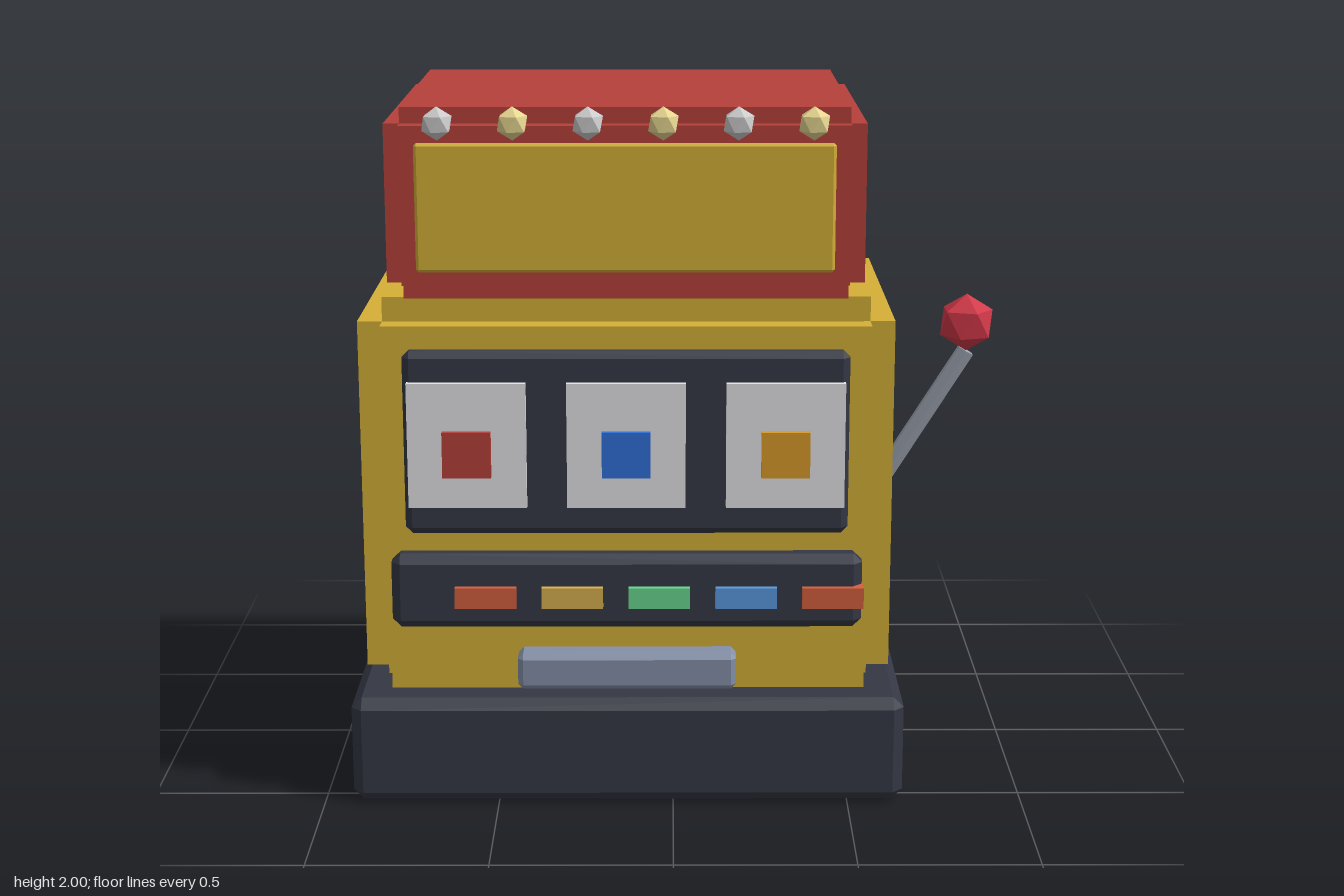
import * as THREE from 'three';
import { ConvexGeometry } from 'three/addons/geometries/ConvexGeometry.js';

const CX = -0.13; // cabinet centre line; the lever sticks out on the +x side
const TILT = -0.5536; // lever lean

const material = (color) => new THREE.MeshStandardMaterial({ color, flatShading: true });

function add(parent, name, geometry, color, x = 0, y = 0, z = 0) {
  const mesh = new THREE.Mesh(geometry, material(color));
  mesh.name = name;
  mesh.position.set(x, y, z);
  parent.add(mesh);
  return mesh;
}

// Box with every edge chamfered by c
function chamferBox(w, h, d, c) {
  const points = [];
  for (const sx of [-1, 1]) for (const sy of [-1, 1]) for (const sz of [-1, 1]) {
    for (let axis = 0; axis < 3; axis++) {
      const p = [w / 2 - c, h / 2 - c, d / 2 - c];
      p[axis] += c;
      points.push(new THREE.Vector3(sx * p[0], sy * p[1], sz * p[2]));
    }
  }
  return new ConvexGeometry(points);
}

// Three crossing boxes, each reaching full size along one axis: stepped edges
function steppedBox(parent, name, size, inset, color, x, y, z) {
  const group = new THREE.Group();
  group.name = name;
  group.position.set(x, y, z);
  for (let axis = 0; axis < 3; axis++) {
    const s = size.map((v, i) => (i === axis ? v : v - 2 * inset));
    add(group, name + 'Block', new THREE.BoxGeometry(...s), color);
  }
  parent.add(group);
}

export function createModel() {
  const model = new THREE.Group();
  model.name = 'slotMachine';
  const dark = 0x343844, gold = 0xd4af37, red = 0xb5403a, white = 0xe4e4e8;

  // Cabinet
  add(model, 'base', chamferBox(1.58, 0.31, 1.19, 0.03), dark, CX, 0.155, -0.025);
  steppedBox(model, 'body', [1.5, 1.15, 1.1], 0.07, gold, CX, 0.885, -0.022);
  steppedBox(model, 'topBox', [1.32, 0.53, 1.02], 0.045, red, CX, 1.725, 0.02);

  // Illuminated sign and bulbs
  add(model, 'sign', chamferBox(1.145, 0.355, 0.02, 0.008), gold, CX, 1.723, 0.545);
  for (let i = 0; i < 6; i++) {
    const bulb = add(model, 'bulb', new THREE.IcosahedronGeometry(0.046, 0),
      i % 2 ? 0xe6d690 : 0xe0e0e0, -0.635 + i * 0.203, 1.957, 0.575);
    bulb.rotation.z = TILT;
  }

  // Reel window with three reels and their symbols
  add(model, 'reelPanel', chamferBox(1.24, 0.525, 0.06, 0.02), dark, CX, 1.063, 0.53);
  [0xb5403a, 0x2f70d8, 0xd89a28].forEach((color, i) => {
    const x = CX + (i - 1) * 0.442;
    add(model, 'reel', new THREE.BoxGeometry(0.33, 0.355, 0.04), white, x, 1.062, 0.558);
    add(model, 'reelSymbol', new THREE.BoxGeometry(0.135, 0.13, 0.03), color, x, 1.04, 0.582);
  });

  // Button deck
  add(model, 'buttonPanel', chamferBox(1.32, 0.215, 0.08, 0.025), dark, CX, 0.643, 0.56);
  [0xd4603f, 0xd8b050, 0x68d890, 0x5a9ae0, 0xd4603f].forEach((color, i) => {
    add(model, 'button', new THREE.BoxGeometry(0.172, 0.06, 0.05), color, -0.525 + i * 0.243, 0.632, 0.595);
  });

  // Coin tray
  add(model, 'coinTray', chamferBox(0.615, 0.105, 0.09, 0.015), 0x8490a8, CX, 0.413, 0.575);

  // Lever, leaning outward
  const lever = new THREE.Group();
  lever.name = 'lever';
  lever.position.set(0.625, 0.88, 0.18);
  lever.rotation.z = TILT;
  add(lever, 'leverArm', new THREE.CylinderGeometry(0.027, 0.027, 0.43, 6), 0x9aa0ac, 0, 0.215, 0);
  add(lever, 'leverKnob', new THREE.IcosahedronGeometry(0.084, 0), 0xd03848, 0, 0.508, 0);
  lever.children[1].position.x = -0.045;
  lever.children[1].position.set(-0.046, 0.494, 0);
  // Knob sits centred on the arm's end
  lever.children[1].position.set(-0.045 + 0.04, 0.5, 0);
  lever.children[1].position.x = -0.044;
  model.add(lever);
  return model;
}
